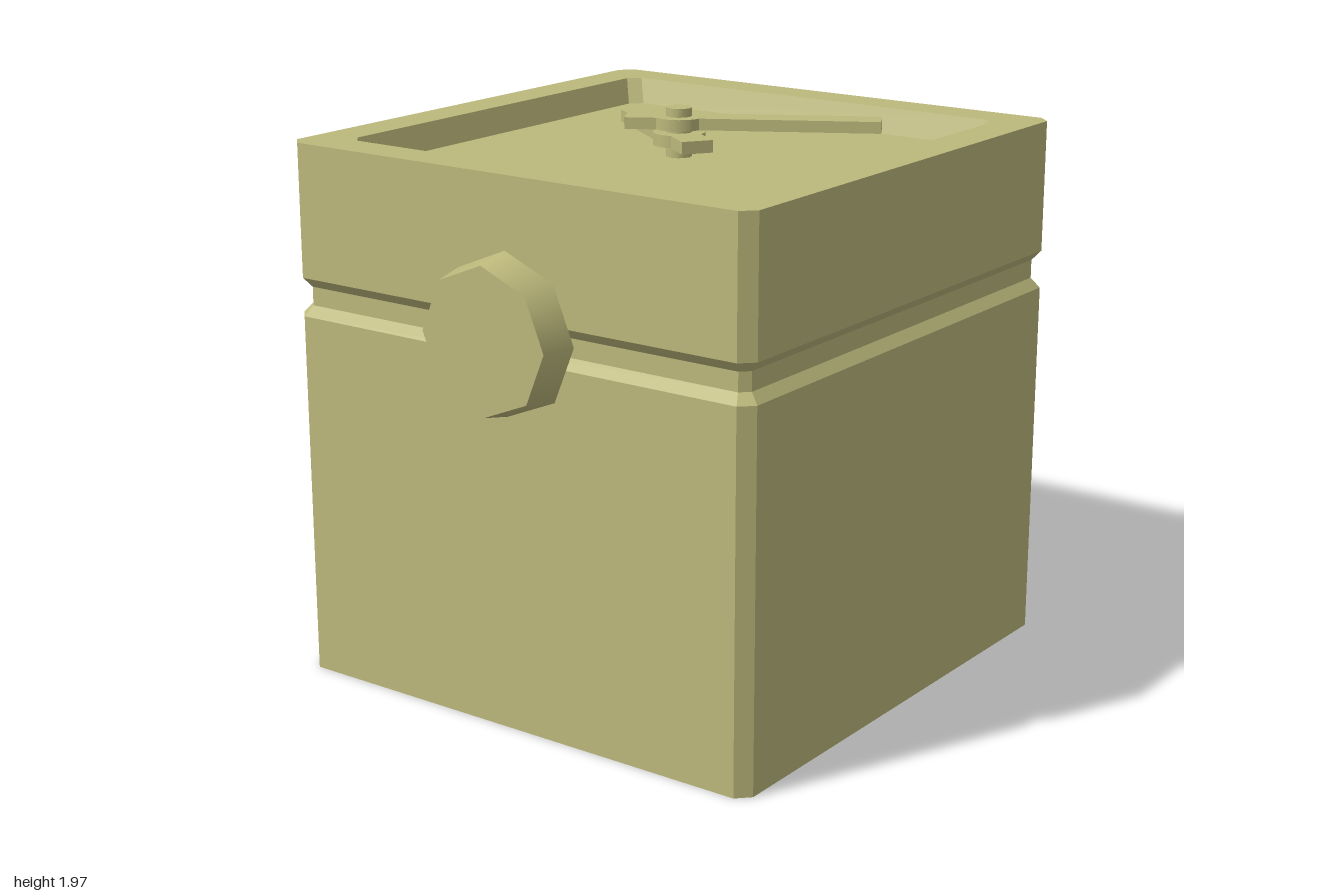
import * as THREE from 'three';

const CZ = -0.06; // depth centre of the body

// Square with cut corners, counter-clockwise seen from above
function ring([h, y, c]) {
  const k = h - c;
  return [[h, k], [h, -k], [k, -h], [-k, -h], [-h, -k], [-h, k], [-k, h], [k, h]]
    .map(([x, z]) => [x, y, z]);
}

// Joins successive rings; a ring of zero size closes the surface
function loft(sections) {
  const rings = sections.map(ring);
  const pos = [];
  for (let i = 0; i < rings.length - 1; i++) {
    for (let j = 0; j < 8; j++) {
      const n = (j + 1) % 8;
      const a = rings[i][j], b = rings[i][n], c = rings[i + 1][n], d = rings[i + 1][j];
      pos.push(...a, ...b, ...c);
      if (sections[i + 1][0] > 0) pos.push(...a, ...c, ...d);
    }
  }
  const g = new THREE.BufferGeometry();
  g.setAttribute('position', new THREE.Float32BufferAttribute(pos, 3));
  g.computeVertexNormals();
  return g;
}

// Flat pointer with a round hub at the origin
function handGeometry(front, back, w, r, thickness) {
  const s = Math.sqrt(r * r - w * w);
  const a = Math.atan2(w, s);
  const shape = new THREE.Shape();
  shape.moveTo(-back, -w);
  shape.lineTo(-s, -w);
  shape.absarc(0, 0, r, Math.PI + a, 2 * Math.PI - a, false);
  shape.lineTo(front, -w);
  shape.lineTo(front, w);
  shape.lineTo(s, w);
  shape.absarc(0, 0, r, a, Math.PI - a, false);
  shape.lineTo(-back, w);
  shape.closePath();
  const g = new THREE.ExtrudeGeometry(shape, { depth: thickness, bevelEnabled: false, curveSegments: 8 });
  return g.rotateX(-Math.PI / 2);
}

export function createModel() {
  const group = new THREE.Group();
  const material = new THREE.MeshStandardMaterial({ color: 0xbdb97c });
  const shellMaterial = new THREE.MeshStandardMaterial({ color: 0xbdb97c, side: THREE.DoubleSide, flatShading: true });

  const add = (name, geometry, mat, x, y, z) => {
    const mesh = new THREE.Mesh(geometry, mat);
    mesh.name = name;
    mesh.position.set(x, y, z);
    group.add(mesh);
    return mesh;
  };

  // Thin shell, open below: walls, groove, rim and sunken dial (half width, height, corner cut)
  add('body', loft([
    [0.94, 0, 0.045], [0.94, 1.29, 0.045], [0.91, 1.325, 0.03], [0.91, 1.39, 0.03],
    [0.94, 1.425, 0.045], [0.94, 1.89, 0.045], [0.795, 1.89, 0.04], [0.76, 1.8, 0.04], [0, 1.8, 0],
  ]), shellMaterial, 0, 0, CZ);

  // Eight-sided tapered knob on the front
  const knob = new THREE.CylinderGeometry(0.25, 0.275, 0.12, 8);
  knob.rotateX(Math.PI / 2);
  add('knob', knob, material, 0, 1.37, 0.94);

  // Two pointers, the short one beneath the long one
  const long = add('longHand', handGeometry(0.692, 0.183, 0.052, 0.09, 0.04), material, 0, 1.9, CZ);
  long.rotation.y = THREE.MathUtils.degToRad(30);
  const short = add('shortHand', handGeometry(0.471, 0.186, 0.055, 0.09, 0.043), material, 0, 1.842, CZ);
  short.rotation.y = THREE.MathUtils.degToRad(180 - 34.6);

  // Pivot pin through both pointers
  add('pivotPin', new THREE.CylinderGeometry(0.045, 0.045, 0.17, 12), material, 0, 1.885, CZ);

  return group;
}
